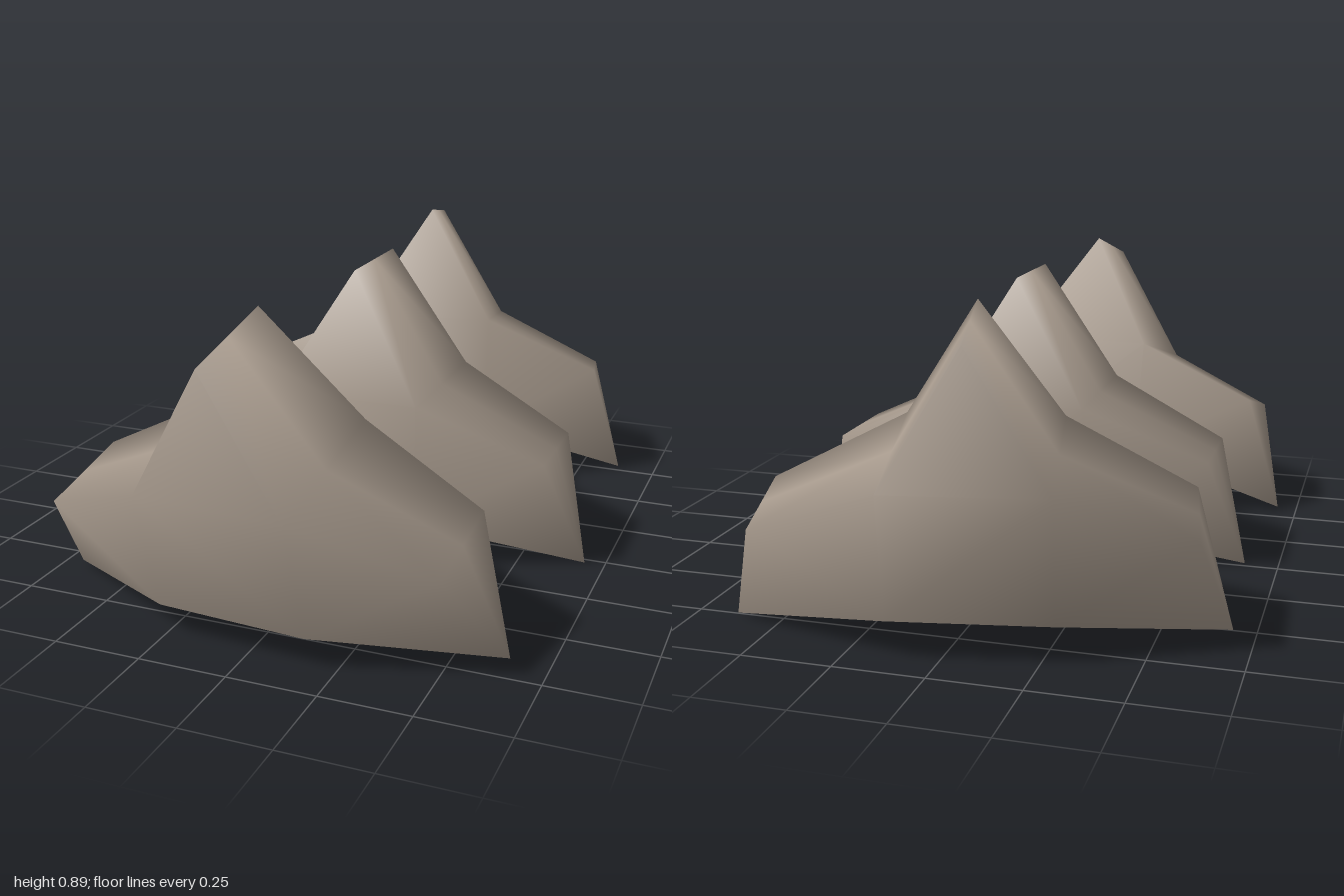
import * as THREE from 'three';

// One hollow, open-bottomed ridge plate, symmetric in x and z
function ridgeGeometry() {
  // Half profile: [x, y, half depth]
  const apex = [0, 0.864, 0.155];
  const shoulder = [0.215, 0.505, 0.235];
  const wing = [0.57, 0.347, 0.145];
  const tip = [0.67, 0, 0];
  const hem = [0.215, 0.147, 0.235];
  const positions = [];
  const ids = new Map();
  const index = [];

  // Shared vertices keep the shading smooth
  const vertex = ([x, y, d], sx, sz) => {
    const p = [x * sx, y, d * sz];
    const key = p.map((v) => Math.round(v * 1000) + 0).join();
    if (!ids.has(key)) {
      ids.set(key, positions.length / 3);
      positions.push(...p);
    }
    return ids.get(key);
  };
  const tri = (a, b, c, flip) => index.push(...(flip ? [a, c, b] : [a, b, c]));

  for (const sz of [1, -1]) {
    // Centre of the wall: gable triangle over an upright panel
    const right = vertex(shoulder, -1, sz), left = vertex(shoulder, 1, sz);
    const hemRight = vertex(hem, -1, sz), hemLeft = vertex(hem, 1, sz);
    tri(vertex(apex, 1, sz), right, left, sz < 0);
    tri(right, hemRight, hemLeft, sz < 0);
    tri(right, hemLeft, left, sz < 0);

    for (const sx of [1, -1]) {
      const v = (p) => vertex(p, sx, sz);
      const mid = (p) => vertex(p, sx, 0);
      const flip = sx * sz < 0;
      // Wing side of the wall
      tri(v(shoulder), v(hem), v(wing), flip);
      tri(v(wing), v(hem), v(tip), flip);
      // Roof from its middle line out to the wall, then the end down to the tip
      for (const [p, q] of [[apex, shoulder], [shoulder, wing]]) {
        tri(mid(p), v(p), v(q), flip);
        tri(mid(p), v(q), mid(q), flip);
      }
      tri(mid(wing), v(wing), v(tip), flip);
    }
  }

  const geometry = new THREE.BufferGeometry();
  geometry.setAttribute('position', new THREE.Float32BufferAttribute(positions, 3));
  geometry.setIndex(index);
  geometry.computeVertexNormals();
  return geometry;
}

export function createModel() {
  const group = new THREE.Group();
  group.name = 'ridgePlates';
  const stone = new THREE.MeshStandardMaterial({ color: 0xa6998c, side: THREE.DoubleSide });
  stone.name = 'warm grey stone';
  const geometry = ridgeGeometry();

  // Three plates, the outer two leaning away from the middle
  const plates = [
    { name: 'frontPlate', at: [-0.022, 0.012, 0.62], lean: 15.5, yaw: -4.3 },
    { name: 'middlePlate', at: [0.02, 0, 0.022], lean: 0, yaw: 0 },
    { name: 'backPlate', at: [-0.03, 0.009, -0.641], lean: -11.1, yaw: 10.7 },
  ];
  for (const { name, at, lean, yaw } of plates) {
    const plate = new THREE.Mesh(geometry, stone);
    plate.name = name;
    plate.position.set(...at);
    plate.rotation.set(THREE.MathUtils.degToRad(lean), THREE.MathUtils.degToRad(yaw), 0, 'YXZ');
    group.add(plate);
  }
  return group;
}
